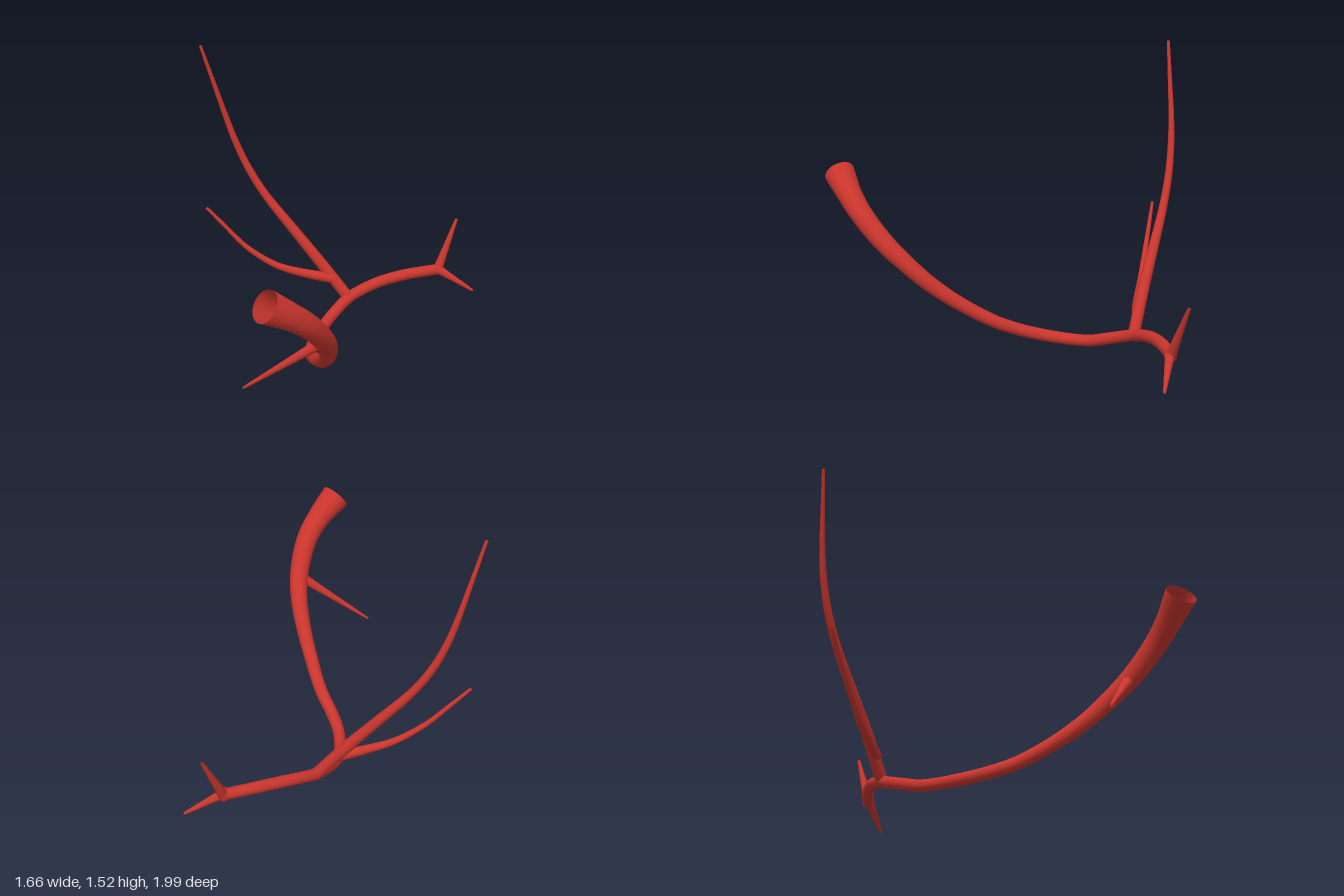
import * as THREE from 'three';

const vesselRed = new THREE.MeshStandardMaterial({ color: 0xc8352d, side: THREE.DoubleSide });
vesselRed.name = 'vesselRed';

// Open tapered tube; each station is [x, y, z, radius]
function taperedTube(name, stations, steps, sides = 24) {
  const curve = new THREE.CatmullRomCurve3(stations.map(([x, y, z]) => new THREE.Vector3(x, y, z)));
  const frames = curve.computeFrenetFrames(steps, false);
  const positions = [], normals = [], index = [];
  const last = stations.length - 1;
  for (let i = 0; i <= steps; i++) {
    const u = i / steps;
    const centre = curve.getPointAt(u);
    const s = curve.getUtoTmapping(u) * last;
    const k = Math.min(Math.floor(s), last - 1);
    const radius = THREE.MathUtils.lerp(stations[k][3], stations[k + 1][3], s - k);
    for (let j = 0; j <= sides; j++) {
      const a = (j / sides) * Math.PI * 2;
      const n = frames.normals[i].clone().multiplyScalar(Math.cos(a))
        .addScaledVector(frames.binormals[i], Math.sin(a));
      normals.push(n.x, n.y, n.z);
      positions.push(centre.x + n.x * radius, centre.y + n.y * radius, centre.z + n.z * radius);
      if (i < steps && j < sides) {
        const p = i * (sides + 1) + j, q = p + sides + 1;
        index.push(p, p + 1, q, q, p + 1, q + 1);
      }
    }
  }
  const geometry = new THREE.BufferGeometry();
  geometry.setAttribute('position', new THREE.Float32BufferAttribute(positions, 3));
  geometry.setAttribute('normal', new THREE.Float32BufferAttribute(normals, 3));
  geometry.setIndex(index);
  const mesh = new THREE.Mesh(geometry, vesselRed);
  mesh.name = name;
  return mesh;
}

export function createModel() {
  const model = new THREE.Group();
  model.name = 'branchingVessel';

  // Main vessel from the wide open mouth, round the bend, to the rear fork
  model.add(taperedTube('mainVessel', [
    [0.745, 0.867, 0.952, 0.081],
    [0.762, 0.778, 0.82, 0.064],
    [0.757, 0.695, 0.715, 0.058],
    [0.709, 0.57, 0.59, 0.053],
    [0.637, 0.462, 0.495, 0.047],
    [0.535, 0.345, 0.41, 0.042],
    [0.41, 0.237, 0.325, 0.037],
    [0.255, 0.133, 0.225, 0.034],
    [0.13, 0.077, 0.163, 0.033],
    [0.03, 0.047, 0.098, 0.032],
    [-0.06, 0.033, 0.005, 0.031],
    [-0.122, 0.038, -0.088, 0.031],
    [-0.167, 0.077, -0.21, 0.031],
    [-0.195, 0.13, -0.36, 0.031],
    [-0.183, 0.157, -0.45, 0.031],
    [-0.156, 0.182, -0.55, 0.031],
    [-0.105, 0.202, -0.68, 0.031],
    [-0.012, 0.216, -0.865, 0.03],
  ], 140));

  // Tall branch sweeping up to the right
  model.add(taperedTube('tallBranch', [
    [-0.19, 0.12, -0.365, 0.031],
    [-0.325, 0.315, -0.275, 0.031],
    [-0.46, 0.495, -0.192, 0.027],
    [-0.604, 0.69, -0.103, 0.022],
    [-0.684, 0.84, -0.05, 0.02],
    [-0.735, 0.99, -0.007, 0.018],
    [-0.767, 1.14, 0.032, 0.015],
    [-0.792, 1.3, 0.075, 0.012],
    [-0.826, 1.522, 0.135, 0.008],
  ], 80));

  // Lower curved side branch
  model.add(taperedTube('sideBranch', [
    [-0.265, 0.24, -0.305, 0.03],
    [-0.37, 0.268, -0.19, 0.024],
    [-0.48, 0.312, -0.078, 0.018],
    [-0.597, 0.412, 0.032, 0.014],
    [-0.685, 0.525, 0.106, 0.011],
    [-0.763, 0.628, 0.172, 0.008],
  ], 50));

  // Straight pointed twigs: [name, root, tip]
  const twigs = [
    ['frontTwig', [0.69, 0.538, 0.565, 0.033], [0.39, 0.25, 0.815, 0.006]],
    ['rearUpperTwig', [-0.015, 0.205, -0.855, 0.032], [-0.01, 0.488, -0.99, 0.008]],
    ['rearLowerTwig', [-0.025, 0.23, -0.845, 0.032], [0.135, 0.1, -0.99, 0.007]],
  ];
  for (const [name, root, tip] of twigs) model.add(taperedTube(name, [root, tip], 10));

  return model;
}
